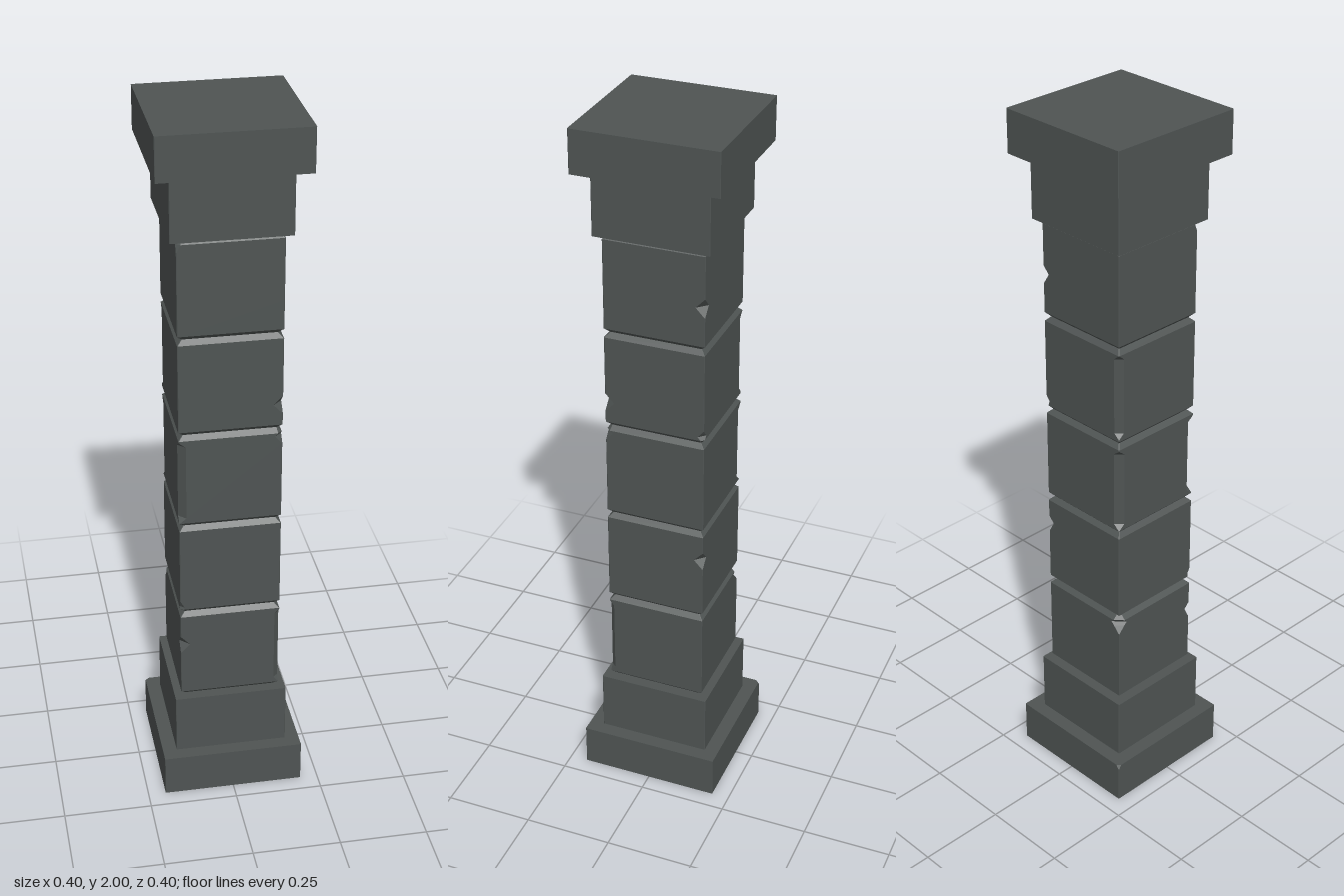
import * as THREE from 'three';

// Corners counter-clockwise seen from above
const CORNERS = [[1, 1], [1, -1], [-1, -1], [-1, 1]];
const FR = 0, BR = 1, BL = 2, FL = 3;

// Square block from y0 to y1 with bevelled rims; each chip cuts a corner:
// corner index, centre y, half height h, ramp length r, depth c
function blockGeometry(half, y0, y1, bevel = 0, chips = []) {
  const ys = new Set([y0, y1, y0 + bevel, y1 - bevel]);
  for (const { y, h, r } of chips) {
    for (const v of [y - h, y - h + r, y + h - r, y + h]) if (v > y0 && v < y1) ys.add(v);
  }
  const levels = [...ys].sort((a, b) => a - b);

  const rings = levels.map((y) => {
    const inset = Math.max(0, bevel - (y - y0), bevel - (y1 - y));
    const s = half - inset;
    const ring = [];
    CORNERS.forEach(([sx, sz], k) => {
      let cut = 0.0015;
      for (const chip of chips) {
        if (chip.corner !== k) continue;
        const t = Math.min(1, (chip.h - Math.abs(y - chip.y)) / chip.r);
        cut = Math.max(cut, chip.c * t);
      }
      const alongX = new THREE.Vector3(sx * (s - cut), y, sz * s);
      const alongZ = new THREE.Vector3(sx * s, y, sz * (s - cut));
      ring.push(...(sx * sz > 0 ? [alongX, alongZ] : [alongZ, alongX]));
    });
    return ring;
  });

  const pos = [];
  const tri = (...pts) => pts.forEach((p) => pos.push(p.x, p.y, p.z));
  for (let j = 0; j < rings.length - 1; j++) {
    const a = rings[j], b = rings[j + 1];
    for (let i = 0; i < 8; i++) {
      const n = (i + 1) % 8;
      tri(a[i], a[n], b[n]);
      tri(a[i], b[n], b[i]);
    }
  }
  const bottom = rings[0], top = rings[rings.length - 1];
  for (let i = 1; i < 7; i++) {
    tri(top[0], top[i], top[i + 1]);
    tri(bottom[0], bottom[i + 1], bottom[i]);
  }
  const geo = new THREE.BufferGeometry();
  geo.setAttribute('position', new THREE.Float32BufferAttribute(pos, 3));
  geo.computeVertexNormals();
  return geo;
}

const notch = (corner, y, c = 0.026, h = 0.026) => ({ corner, y, h, r: h, c });
const wornEdge = (corner, y, c = 0.018, h = 0.125) => ({ corner, y, h, r: 0.015, c });

export function createModel() {
  const group = new THREE.Group();
  const stone = new THREE.MeshStandardMaterial({ color: 0x4f5453, flatShading: true });
  stone.name = 'dark grey stone';
  const add = (name, ...args) => {
    const mesh = new THREE.Mesh(blockGeometry(...args), stone);
    mesh.name = name;
    group.add(mesh);
  };

  // Stepped base and capital
  add('plinth', 0.2, 0, 0.122, 0, [notch(BL, 0.122, 0.01, 0.012)]);
  add('baseBlock', 0.16, 0.122, 0.3);
  add('capitalBlock', 0.16, 1.703, 1.88);
  add('capSlab', 0.2, 1.88, 2);

  // Five shaft stones, with their chipped corners from bottom to top
  const chips = [
    [notch(FL, 0.475), wornEdge(FR, 0.44, 0.014), notch(BL, 0.56, 0.03, 0.03)],
    [notch(BR, 0.77), notch(FL, 0.6, 0.012, 0.02)],
    [wornEdge(FL, 1.0, 0.02), wornEdge(BL, 1.0, 0.02), notch(FR, 1.12, 0.02, 0.022)],
    [notch(FR, 1.215), wornEdge(BL, 1.285, 0.018), notch(BR, 1.165, 0.018, 0.02)],
    [notch(BR, 1.545), notch(FL, 1.69, 0.012, 0.02)],
  ];
  const start = 0.3, step = (1.703 - start) / chips.length;
  chips.forEach((list, i) => {
    const y = start + i * step;
    add(`shaftStone${i + 1}`, 0.141, y, y + step, 0.013, list);
  });
  return group;
}
